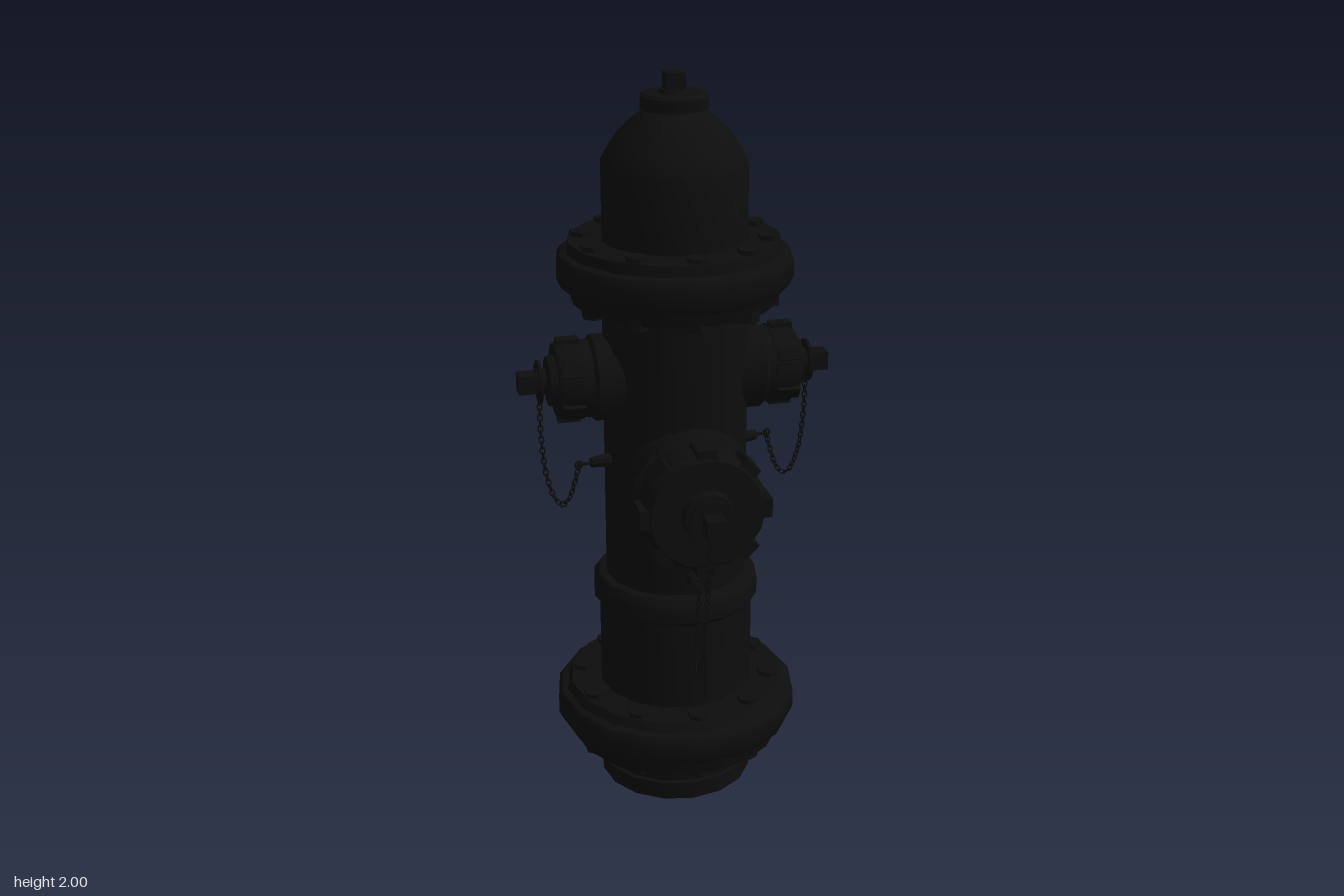
import * as THREE from 'three';
import { mergeGeometries, toCreasedNormals } from 'three/addons/utils/BufferGeometryUtils.js';

const iron = new THREE.MeshStandardMaterial({ color: 0x0d0d0d });

function add(parent, name, geometry) {
  const mesh = new THREE.Mesh(toCreasedNormals(geometry, 0.6), iron);
  mesh.name = name;
  parent.add(mesh);
  return mesh;
}

// Turned part from [radius, height] pairs, listed bottom to top
function turned(points, sides = 16) {
  return new THREE.LatheGeometry(points.map(([r, y]) => new THREE.Vector2(r, y)), sides);
}

// Ring of hexagonal bolt heads above and below a flange
function bolts(radius, bottom, top) {
  const parts = [];
  for (let i = 0; i < 10; i++) {
    const a = (i / 10) * Math.PI * 2;
    for (const y of [bottom, top]) {
      const bolt = new THREE.CylinderGeometry(0.03, 0.03, 0.04, 6);
      bolt.translate(Math.sin(a) * radius, y, Math.cos(a) * radius);
      parts.push(bolt);
    }
  }
  return mergeGeometries(parts);
}

// Oval links threaded along a curve, every second one turned a quarter
function chain(points) {
  const curve = new THREE.CatmullRomCurve3(points.map(p => new THREE.Vector3(...p)));
  const count = Math.round(curve.getLength() / 0.0155);
  const parts = [];
  const xAxis = new THREE.Vector3(1, 0, 0);
  for (let i = 0; i <= count; i++) {
    const link = new THREE.TorusGeometry(0.0075, 0.0022, 4, 8);
    link.scale(1.4, 0.9, 1);
    link.rotateX((i % 2) * Math.PI / 2);
    const turn = new THREE.Quaternion().setFromUnitVectors(xAxis, curve.getTangentAt(i / count));
    link.applyQuaternion(turn);
    link.translate(...curve.getPointAt(i / count).toArray());
    parts.push(link);
  }
  return mergeGeometries(parts);
}

// Outlet facing +z: hub, lugged cap, retaining disc and square nut
function outlet(name, r, capStart, capEnd, lugCount) {
  const group = new THREE.Group();
  group.name = name;
  const forward = g => g.rotateX(Math.PI / 2);
  add(group, 'outletHub', forward(turned([
    [r, 0.08], [r, capStart - 0.03], [r * 0.9, capStart - 0.02], [r * 0.9, capStart + 0.01]])));
  add(group, 'outletCap', forward(turned([
    [0, capStart], [r * 0.93, capStart], [r * 0.93, capEnd - 0.02], [r * 0.85, capEnd],
    [0.07, capEnd], [0.065, capEnd + 0.02], [0.035, capEnd + 0.025], [0.035, capEnd + 0.05], [0, capEnd + 0.05]])));
  const lugs = [];
  for (let i = 0; i < lugCount; i++) {
    const lug = new THREE.BoxGeometry(r * 0.3, r * 0.2, capEnd - capStart - 0.01);
    lug.translate(0, r * 0.9, (capStart + capEnd) / 2);
    lugs.push(lug.rotateZ((i / lugCount) * Math.PI * 2));
  }
  add(group, 'capLugs', mergeGeometries(lugs));
  add(group, 'chainDisc', forward(new THREE.CylinderGeometry(0.058, 0.058, 0.008, 12)))
    .position.z = capEnd + 0.042;
  add(group, 'capNut', new THREE.BoxGeometry(0.05, 0.05, 0.06)).position.z = capEnd + 0.068;
  return group;
}

// Chain anchor facing +z: boss on the barrel, rod and eye
function anchor(bossZ, eyeZ) {
  const group = new THREE.Group();
  group.name = 'chainAnchor';
  add(group, 'anchorBoss', new THREE.CylinderGeometry(0.014, 0.022, 0.07, 8).rotateX(Math.PI / 2))
    .position.z = bossZ;
  add(group, 'anchorRod', new THREE.CylinderGeometry(0.005, 0.005, eyeZ - bossZ, 6).rotateX(Math.PI / 2))
    .position.z = (bossZ + eyeZ) / 2;
  add(group, 'anchorEye', new THREE.TorusGeometry(0.01, 0.003, 5, 10).rotateY(Math.PI / 2))
    .position.z = eyeZ;
  return group;
}

export function createModel() {
  const model = new THREE.Group();
  model.name = 'fireHydrant';
  const body = new THREE.Group();
  body.name = 'hydrantBody';
  body.position.set(-0.002, 0, -0.05);
  body.rotation.y = -0.182;
  model.add(body);

  // Barrel with foot ring and middle band
  add(body, 'barrel', turned([
    [0, 0], [0.215, 0], [0.215, 0.043], [0.224, 0.046], [0.224, 0.057], [0.215, 0.06],
    [0.215, 0.55], [0.23, 0.565], [0.23, 0.61], [0.215, 0.632], [0.195, 0.635], [0.195, 1.45]]));

  // Two stepped flanges, each with bolts on both faces
  add(body, 'lowerFlange', turned([
    [0.2, 0.135], [0.3, 0.135], [0.31, 0.18], [0.33, 0.185], [0.34, 0.205],
    [0.34, 0.255], [0.33, 0.27], [0.312, 0.275], [0.3, 0.298], [0.2, 0.298]]));
  add(body, 'lowerFlangeBolts', bolts(0.265, 0.14, 0.29));
  add(body, 'upperFlange', turned([
    [0.18, 1.415], [0.27, 1.415], [0.28, 1.45], [0.3, 1.46], [0.312, 1.485],
    [0.312, 1.53], [0.302, 1.545], [0.285, 1.55], [0.28, 1.578], [0.18, 1.578]]));
  add(body, 'upperFlangeBolts', bolts(0.245, 1.42, 1.57));

  // Domed bonnet and operating nut
  add(body, 'bonnet', turned([
    [0.192, 1.55], [0.192, 1.775], [0.172, 1.812], [0.145, 1.85], [0.105, 1.888],
    [0.078, 1.908], [0.075, 1.92], [0, 1.92]]));
  add(body, 'bonnetCap', turned([
    [0, 1.91], [0.088, 1.91], [0.088, 1.942], [0.08, 1.95], [0.04, 1.95], [0.035, 1.958], [0, 1.958]]));
  add(body, 'operatingNut', new THREE.BoxGeometry(0.05, 0.06, 0.05)).position.y = 1.97;

  // Large front outlet with its chain
  const front = outlet('frontOutlet', 0.175, 0.265, 0.35, 8);
  front.position.y = 0.94;
  body.add(front);
  const frontAnchor = anchor(0.2, 0.27);
  frontAnchor.position.y = 0.687;
  body.add(frontAnchor);
  add(body, 'frontChain', chain([
    [0, 0.885, 0.392], [-0.005, 0.75, 0.382], [-0.01, 0.6, 0.365], [-0.012, 0.5, 0.335],
    [-0.01, 0.458, 0.305], [-0.006, 0.49, 0.275], [-0.002, 0.6, 0.27], [0, 0.68, 0.27]]));

  // Matching side outlets, a half turn apart
  for (const [name, turn] of [['left', Math.PI / 2], ['right', -Math.PI / 2]]) {
    const side = new THREE.Group();
    side.name = name + 'Side';
    side.rotation.y = turn;
    body.add(side);
    const small = outlet(name + 'Outlet', 0.115, 0.255, 0.325, 6);
    small.position.y = 1.21;
    side.add(small);
    const sideAnchor = anchor(0.21, 0.28);
    sideAnchor.position.y = 0.985;
    sideAnchor.rotation.y = 0.182;
    side.add(sideAnchor);
    add(side, name + 'Chain', chain([
      [0, 1.155, 0.367], [0.005, 1.05, 0.366], [0.015, 0.94, 0.355], [0.025, 0.88, 0.335],
      [0.035, 0.868, 0.32], [0.042, 0.885, 0.303], [0.048, 0.93, 0.288], [0.051, 0.98, 0.275]]));
  }
  return model;
}
